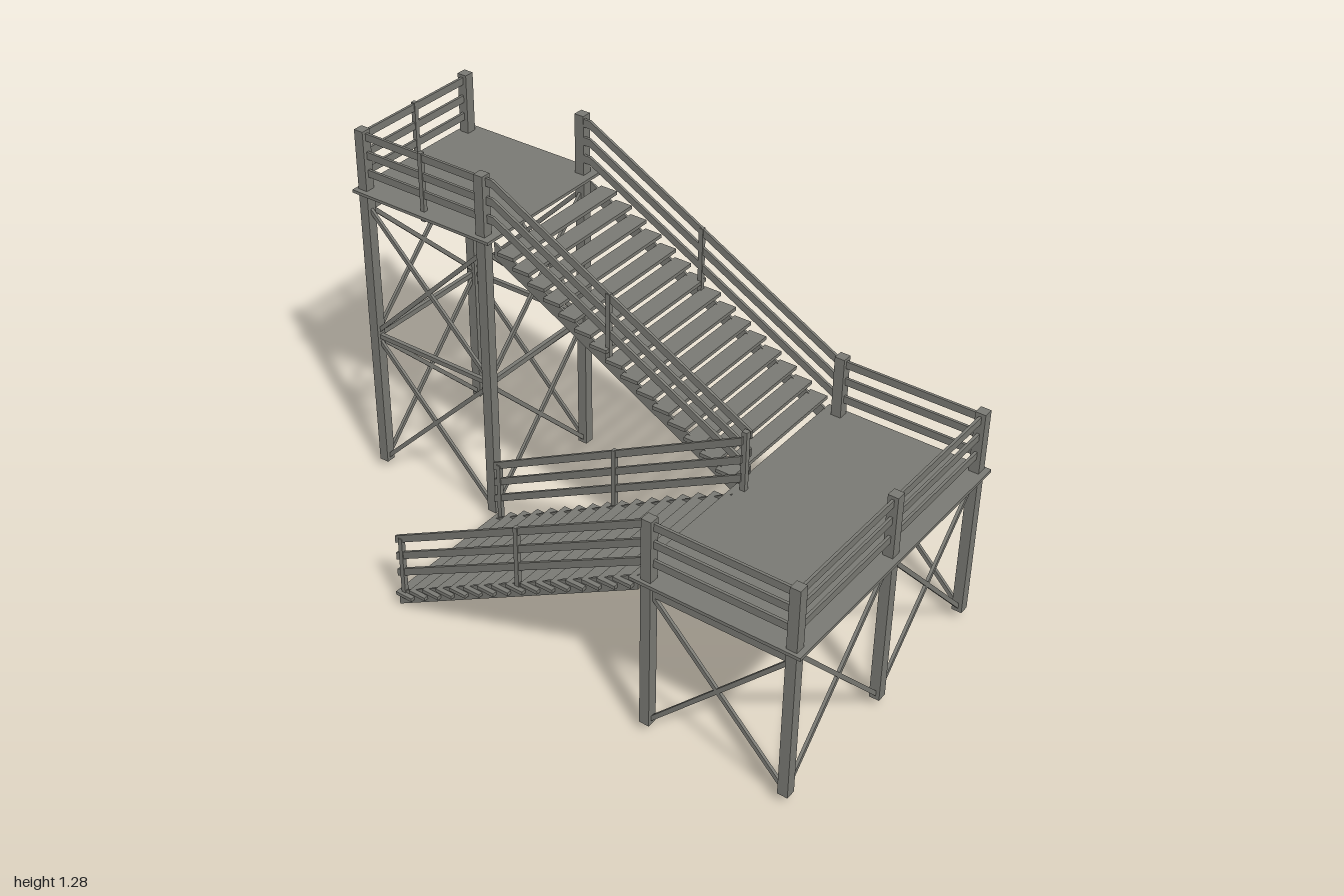
import * as THREE from 'three';

export function createModel() {
  const root = new THREE.Group();
  root.name = 'stairTower';
  const steel = new THREE.MeshStandardMaterial({ color: 0x7a7a74 });
  steel.name = 'grey steel';

  const group = (name) => {
    const g = new THREE.Group();
    g.name = name;
    root.add(g);
    return g;
  };
  const add = (parent, name, geo) => {
    const m = new THREE.Mesh(geo, steel);
    m.name = name;
    parent.add(m);
    return m;
  };
  // Box given by its limits on each axis
  const box = (parent, name, x0, x1, y0, y1, z0, z1) =>
    add(parent, name, new THREE.BoxGeometry(x1 - x0, y1 - y0, z1 - z0))
      .position.set((x0 + x1) / 2, (y0 + y1) / 2, (z0 + z1) / 2);
  // Bar between two points
  const bar = (parent, name, a, b, w, h) => {
    const p = new THREE.Vector3(...a), q = new THREE.Vector3(...b);
    const m = add(parent, name, new THREE.BoxGeometry(w, h, p.distanceTo(q)));
    m.position.copy(p).add(q).multiplyScalar(0.5);
    m.lookAt(q);
  };
  const post = (parent, name, x, z, y0, y1, w) =>
    box(parent, name, x - w / 2, x + w / 2, y0, y1, z - w / 2, z + w / 2);
  // Crossed braces in the vertical panel between two plan points
  const cross = (parent, [xa, za], [xb, zb], y0, y1) => {
    bar(parent, 'brace', [xa, y0, za], [xb, y1, zb], 0.01, 0.014);
    bar(parent, 'brace', [xa, y1, za], [xb, y0, zb], 0.01, 0.014);
  };
  // Three level rails between two plan points
  const rails = (parent, [xa, za], [xb, zb], heights) => {
    for (const y of heights) bar(parent, 'rail', [xa, y, za], [xb, y, zb], 0.009, 0.025);
  };
  // Sloping board with upright ends
  const slope = (parent, name, [x0, y0], [x1, y1], h, z, t) => {
    const s = new THREE.Shape([
      new THREE.Vector2(x0, y0 - h / 2), new THREE.Vector2(x1, y1 - h / 2),
      new THREE.Vector2(x1, y1 + h / 2), new THREE.Vector2(x0, y0 + h / 2)]);
    add(parent, name, new THREE.ExtrudeGeometry(s, { depth: t, bevelEnabled: false }))
      .position.z = z - t / 2;
  };

  const W = 0.034;
  const lowRails = [0.76, 0.7, 0.635], highRails = [1.263, 1.2, 1.138];

  // Lower landing
  const low = group('lowerLanding');
  const lx = [0.49, 0.965], lz = [-0.478, 0.012, 0.502];
  box(low, 'deck', 0.44, 1, 0.562, 0.573, -0.505, 0.53);
  for (const x of lx) for (const z of lz)
    post(low, 'post', x, z, 0.04, x === lx[0] && z === lz[1] ? 0.562 : 0.783, W);
  for (const z of [lz[0], lz[2]]) {
    box(low, 'edgeBeam', lx[0], lx[1], 0.517, 0.562, z - 0.006, z + 0.006);
    cross(low, [lx[0], z], [lx[1], z], 0.045, 0.53);
    rails(low, [lx[0], z], [lx[1], z], lowRails);
  }
  for (let i = 0; i < 2; i++) {
    cross(low, [lx[1], lz[i]], [lx[1], lz[i + 1]], 0.045, 0.555);
    rails(low, [lx[1], lz[i]], [lx[1], lz[i + 1]], lowRails);
  }

  // Upper tower
  const high = group('upperTower');
  const hx = [-0.972, -0.498], hz = [-0.49, -0.004];
  box(high, 'deck', -1, -0.455, 1.07, 1.08, -0.53, 0.03);
  for (const x of hx) for (const z of hz) post(high, 'post', x, z, 0.04, 1.285, W);
  const tiers = [[0.045, 0.53], [0.55, 1.02]];
  for (const z of hz) {
    bar(high, 'middleBeam', [hx[0], 0.54, z], [hx[1], 0.54, z], 0.014, 0.016);
    for (const [a, b] of tiers) cross(high, [hx[0], z], [hx[1], z], a, b);
  }
  for (const x of hx) {
    bar(high, 'middleBeam', [x, 0.54, hz[0]], [x, 0.54, hz[1]], 0.014, 0.018);
    for (const [a, b] of tiers) cross(high, [x, hz[0]], [x, hz[1]], a, b);
  }
  box(high, 'deckBeam', -0.985, -0.96, 1.005, 1.045, -0.53, 0);
  rails(high, [hx[0], hz[1]], [hx[1], hz[1]], highRails);
  rails(high, [hx[0], hz[0]], [hx[0], hz[1]], highRails);
  post(high, 'baluster', -0.735, hz[1], 1.045, 1.28, 0.015);
  post(high, 'baluster', hx[0], -0.245, 1.045, 1.28, 0.015);

  // Lower flight, climbing toward +x
  const flightA = group('lowerFlight');
  for (let i = 0; i < 16; i++) {
    const x = -0.425 + 0.056 * i, y = 0.06 + 0.0317 * i;
    box(flightA, 'tread', x - 0.031, x + 0.031, y - 0.006, y + 0.006, 0.034, 0.527);
  }
  for (const z of [0.054, 0.508]) slope(flightA, 'stringer', [-0.457, 0.032], [0.46, 0.55], 0.052, z, 0.007);
  for (const z of [0.04, 0.508]) {
    for (const d of [0, 0.065, 0.13])
      slope(flightA, 'rail', [-0.457, 0.262 - d], [0.48, 0.765 - d], 0.027, z, 0.009);
    post(flightA, 'baluster', -0.435, z, 0.04, 0.275, 0.015);
    post(flightA, 'baluster', 0.025, z, 0.3, 0.535, 0.015);
  }

  // Upper flight, climbing toward -x
  const flightB = group('upperFlight');
  for (let i = 0; i < 15; i++) {
    const x = 0.405 - 0.0575 * i, y = 0.6 + 0.0317 * i;
    box(flightB, 'tread', x - 0.031, x + 0.031, y - 0.006, y + 0.006, -0.498, 0.016);
  }
  for (const z of [-0.478, -0.006]) {
    slope(flightB, 'stringer', [-0.457, 1.04], [0.46, 0.54], 0.052, z, 0.007);
    for (const d of [0, 0.063, 0.125]) {
      slope(flightB, 'rail', [-0.457, 1.263 - d], [0.48, 0.76 - d], 0.027, z, 0.009);
      slope(flightB, 'railEnd', [-0.5, 1.263 - d], [-0.457, 1.263 - d], 0.027, z, 0.009);
    }
    post(flightB, 'baluster', -0.03, z, 0.82, 1.045, 0.015);
  }
  post(flightB, 'newel', 0.472, 0.012, 0.56, 0.78, 0.018);

  return root;
}
